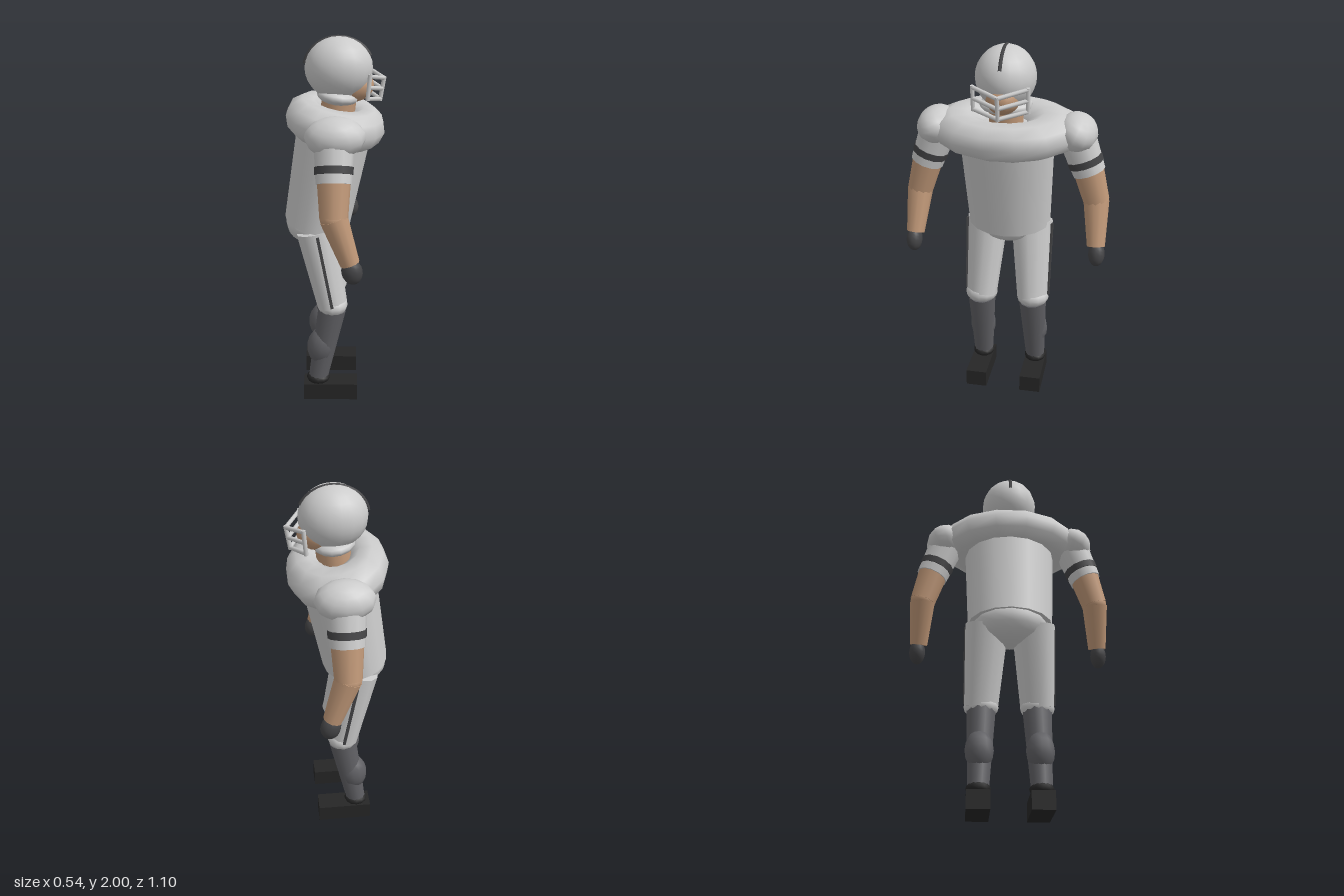
import * as THREE from 'three';

const LIGHT = 0xcccccc, SKIN = 0xc09878, SOCK = 0x606064, DARK = 0x444446, SHOE = 0x262626;
const UP = new THREE.Vector3(0, 1, 0);
const materials = {};
const mat = (color) => (materials[color] ??= new THREE.MeshStandardMaterial({ color }));

function add(parent, name, geometry, color, position = [0, 0, 0]) {
  const mesh = new THREE.Mesh(geometry, mat(color));
  mesh.name = name;
  mesh.position.set(...position);
  parent.add(mesh);
  return mesh;
}

const ellipsoid = (parent, name, color, position, radii, w = 14, h = 10) =>
  add(parent, name, new THREE.SphereGeometry(1, w, h).scale(...radii), color, position);

// Stands a y-aligned geometry along the line from a to b
function between(parent, name, a, b, color, makeGeometry) {
  const from = new THREE.Vector3(...a), to = new THREE.Vector3(...b);
  const mesh = add(parent, name, makeGeometry(from.distanceTo(to)), color);
  mesh.position.copy(from).lerp(to, 0.5);
  mesh.quaternion.setFromUnitVectors(UP, to.sub(from).normalize());
  return mesh;
}

// Tapered limb from a (radius ra) to b (radius rb)
const limb = (parent, name, color, a, b, ra, rb, xScale = 1, sides = 12) =>
  between(parent, name, a, b, color, (len) =>
    new THREE.CylinderGeometry(rb, ra, len, sides).scale(xScale, 1, 1));

function buildTorso(g) {
  const LEAN = -0.18;
  // Jersey leans forward over the hips
  const jersey = add(g, 'jersey', new THREE.CylinderGeometry(0.2, 0.178, 0.6, 16)
    .scale(1, 1, 1.28), LIGHT, [-0.04, 1.295, 0]);
  jersey.rotation.z = LEAN;
  ellipsoid(g, 'hips', LIGHT, [-0.1, 1.0, 0], [0.165, 0.12, 0.2]);

  // Oval chest and back pad
  const pad = add(g, 'shoulderPadRing', new THREE.TorusGeometry(0.165, 0.1, 10, 14)
    .rotateX(Math.PI / 2).rotateY(Math.PI / 2).scale(1, 1, 1.5), LIGHT, [0.005, 1.56, 0]);
  pad.rotation.z = LEAN;
  limb(g, 'neck', SKIN, [0.01, 1.55, 0], [0.03, 1.72, 0], 0.09, 0.09);
}

function buildHead(g) {
  ellipsoid(g, 'helmet', LIGHT, [0.022, 1.833, 0], [0.176, 0.162, 0.156], 18, 14);
  const jaw = ellipsoid(g, 'helmetRim', LIGHT, [0.018, 1.69, 0], [0.11, 0.045, 0.138]);
  jaw.rotation.z = -0.12;
  ellipsoid(g, 'face', SKIN, [0.095, 1.745, 0], [0.11, 0.085, 0.09]);

  // Crest stripe over the crown
  const crest = new THREE.TorusGeometry(0.165, 0.01, 6, 24, 2.55).rotateZ(0.43).scale(1.07, 0.97, 1);
  add(g, 'helmetStripe', crest, DARK, [0.022, 1.83, 0]);

  // Face guard: three V-shaped bars joined by uprights
  const guard = new THREE.Group();
  guard.name = 'faceGuard';
  g.add(guard);
  const rows = [0, 0.5, 1];
  const side = (t, s) => [0.178 - 0.01 * t, 1.812 - 0.112 * t, 0.138 * s];
  const nose = (t) => [0.256 - 0.018 * t, 1.782 - 0.108 * t, 0];
  for (const s of [-1, 1]) {
    for (const t of rows) limb(guard, 'guardBar', LIGHT, side(t, s), nose(t), 0.011, 0.011, 1, 8);
    limb(guard, 'guardUpright', LIGHT, side(-0.08, s), side(1.08, s), 0.011, 0.011, 1, 8);
  }
  limb(guard, 'guardUpright', LIGHT, nose(-0.08), nose(1.08), 0.011, 0.011, 1, 8);
}

function buildArm(g, s) {
  const arm = new THREE.Group();
  arm.name = s > 0 ? 'armFront' : 'armBack';
  g.add(arm);
  const cap = ellipsoid(arm, 'shoulderCap', LIGHT, [0.005, 1.56, 0.368 * s], [0.15, 0.098, 0.108], 12, 10);
  cap.rotation.x = 0.38 * s;

  // Sleeve with a dark band; t runs from the shoulder to the hem
  const sleeve = (t) => [0, 1.55 - 0.205 * t, (0.36 + 0.077 * t) * s];
  limb(arm, 'sleeve', LIGHT, sleeve(0), sleeve(1), 0.1, 0.088);
  limb(arm, 'sleeveBand', DARK, sleeve(0.62), sleeve(0.79), 0.0965, 0.0945);

  const elbow = [0, 1.185, 0.482 * s], wrist = [0.08, 0.955, 0.497 * s];
  limb(arm, 'upperArm', SKIN, sleeve(0.95), elbow, 0.082, 0.07);
  ellipsoid(arm, 'elbow', SKIN, elbow, [0.07, 0.06, 0.068], 12, 8);
  limb(arm, 'forearm', SKIN, elbow, wrist, 0.07, 0.049);
  const hand = ellipsoid(arm, 'glove', DARK, [0.09, 0.915, 0.503 * s], [0.053, 0.067, 0.044], 12, 10);
  hand.rotation.z = 0.2;
}

function buildLeg(g, s) {
  const leg = new THREE.Group();
  leg.name = s > 0 ? 'legFront' : 'legBack';
  g.add(leg);
  const knee = [-0.01, 0.565, 0.148 * s], ankle = [-0.09, 0.12, 0.157 * s];
  limb(leg, 'thigh', LIGHT, [-0.098, 0.997, 0.125 * s], knee, 0.12, 0.092, 0.86);
  between(leg, 'trouserStripe', [-0.088, 0.99, 0.234 * s], [-0.012, 0.58, 0.23 * s], DARK,
    (len) => new THREE.BoxGeometry(0.016, len, 0.024));
  ellipsoid(leg, 'knee', LIGHT, knee, [0.084, 0.062, 0.092], 12, 8);

  // Sock with calf bulge, then shoe
  limb(leg, 'sock', SOCK, [-0.012, 0.54, 0.148 * s], ankle, 0.078, 0.055);
  const calf = ellipsoid(leg, 'calf', SOCK, [-0.072, 0.315, 0.155 * s], [0.08, 0.11, 0.074], 12, 8);
  calf.rotation.z = -0.15;
  ellipsoid(leg, 'shoeCollar', SHOE, [-0.09, 0.115, 0.157 * s], [0.066, 0.038, 0.063], 12, 8);
  add(leg, 'shoe', new THREE.BoxGeometry(0.3, 0.095, 0.118), SHOE, [-0.02, 0.0475, 0.158 * s]);
}

export function createModel() {
  const model = new THREE.Group();
  model.name = 'paddedPlayer';
  buildTorso(model);
  buildHead(model);
  for (const s of [-1, 1]) {
    buildArm(model, s);
    buildLeg(model, s);
  }
  return model;
}
